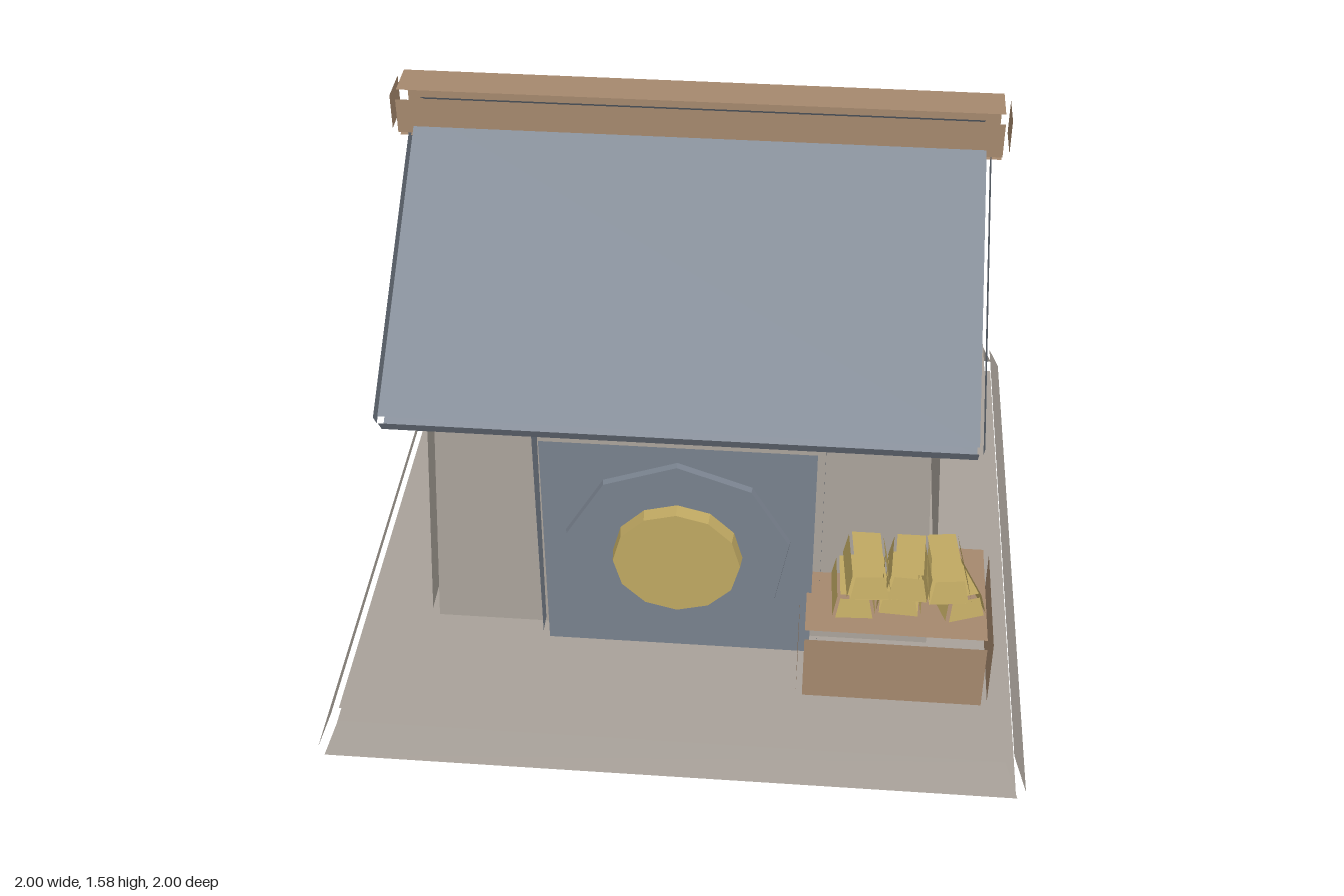
import * as THREE from 'three';

const mat = (name, color) => new THREE.MeshStandardMaterial({ name, color, side: THREE.DoubleSide, flatShading: true });

// Six separate panels of a tapered box standing on y = 0, with open gaps of width b along every edge.
// x0, z0 are half sizes at the foot; x1, z1 are half sizes at the top.
function panelBox(x0, z0, x1, z1, h, b) {
  const pos = [];
  const centre = new THREE.Vector3(0, h / 2, 0);
  const quad = (...corners) => {
    let [p, q, r, s] = corners.map((c) => new THREE.Vector3(...c));
    const n = q.clone().sub(p).cross(r.clone().sub(p));
    if (n.dot(p.clone().sub(centre)) < 0) [q, s] = [s, q];
    for (const v of [p, q, r, p, r, s]) pos.push(v.x, v.y, v.z);
  };
  const lo = b, hi = h - b;
  for (const s of [1, -1]) {
    quad([b - x0, lo, s * z0], [x0 - b, lo, s * z0], [x1 - b, hi, s * z1], [b - x1, hi, s * z1]);
    quad([s * x0, lo, b - z0], [s * x0, lo, z0 - b], [s * x1, hi, z1 - b], [s * x1, hi, b - z1]);
  }
  for (const [x, y, z] of [[x0 - b, 0, z0 - b], [x1 - b, h, z1 - b]]) {
    quad([-x, y, -z], [x, y, -z], [x, y, z], [-x, y, z]);
  }
  const g = new THREE.BufferGeometry();
  g.setAttribute('position', new THREE.Float32BufferAttribute(pos, 3));
  g.computeVertexNormals();
  return g;
}

export function createModel() {
  const model = new THREE.Group();
  model.name = 'vaultHouse';
  const stone = mat('stone', 0xa8a199);
  const slate = mat('slate', 0x78818d);
  const wood = mat('wood', 0xa5886d);
  const gold = mat('gold', 0xbfa862);

  const add = (name, geometry, material, x, y, z) => {
    const mesh = new THREE.Mesh(geometry, material);
    mesh.name = name;
    mesh.position.set(x, y, z);
    model.add(mesh);
    return mesh;
  };
  const midZ = -0.12;

  // Stone plinth, walls and gable block
  add('plinth', panelBox(1, 1, 0.96, 0.96, 0.15, 0.025), stone, 0, 0, 0);
  add('walls', panelBox(0.745, 0.663, 0.705, 0.63, 0.875, 0.025), stone, 0, 0.12, midZ);
  add('gable', panelBox(0.77, 0.45, 0.77, 0.08, 0.395, 0.025), stone, 0, 0.955, midZ);

  // Two sloping roof slabs, mirrored about the ridge
  const pitch = 0.597, slabLength = 0.943, slabThickness = 0.083;
  for (const s of [1, -1]) {
    const g = panelBox(0.815, slabLength / 2, 0.815, slabLength / 2, slabThickness, 0.015);
    g.translate(0, -slabThickness / 2, 0);
    const slab = add(s > 0 ? 'frontRoof' : 'backRoof', g, slate, 0, 1.219, midZ + s * 0.381);
    slab.rotation.x = s * pitch;
  }
  add('ridgeBeam', panelBox(0.865, 0.077, 0.865, 0.077, 0.145, 0.02), wood, 0, 1.435, midZ);

  // Door block with a faceted round hatch and gold boss
  add('doorBlock', panelBox(0.4, 0.11, 0.4, 0.11, 0.785, 0.022), slate, 0, 0.142, 0.51);
  const disc = (name, r, depth, sides, material, front) => {
    const g = new THREE.CylinderGeometry(r * 0.97, r, depth, sides);
    g.rotateY(Math.PI);
    g.rotateX(Math.PI / 2);
    add(name, g, material, 0, 0.535, front - depth / 2);
  };
  disc('hatch', 0.325, 0.05, 9, slate, 0.638);
  disc('hatchBoss', 0.183, 0.05, 12, gold, 0.677);

  // Wooden crate
  add('crate', panelBox(0.27, 0.202, 0.27, 0.202, 0.256, 0.018), wood, 0.617, 0.142, 0.585);

  // Stacked ingots: x, y, z, turn
  const ingots = [
    [0.495, 0.38, 0.6, 0.04], [0.628, 0.405, 0.59, -0.06], [0.775, 0.38, 0.585, 0.35],
    [0.53, 0.47, 0.605, 0.08], [0.648, 0.47, 0.6, -0.05], [0.745, 0.47, 0.605, 0.12],
  ];
  const bar = panelBox(0.062, 0.112, 0.048, 0.096, 0.085, 0.008);
  for (const [x, y, z, turn] of ingots) add('ingot', bar, gold, x, y, z).rotation.y = turn;

  return model;
}
